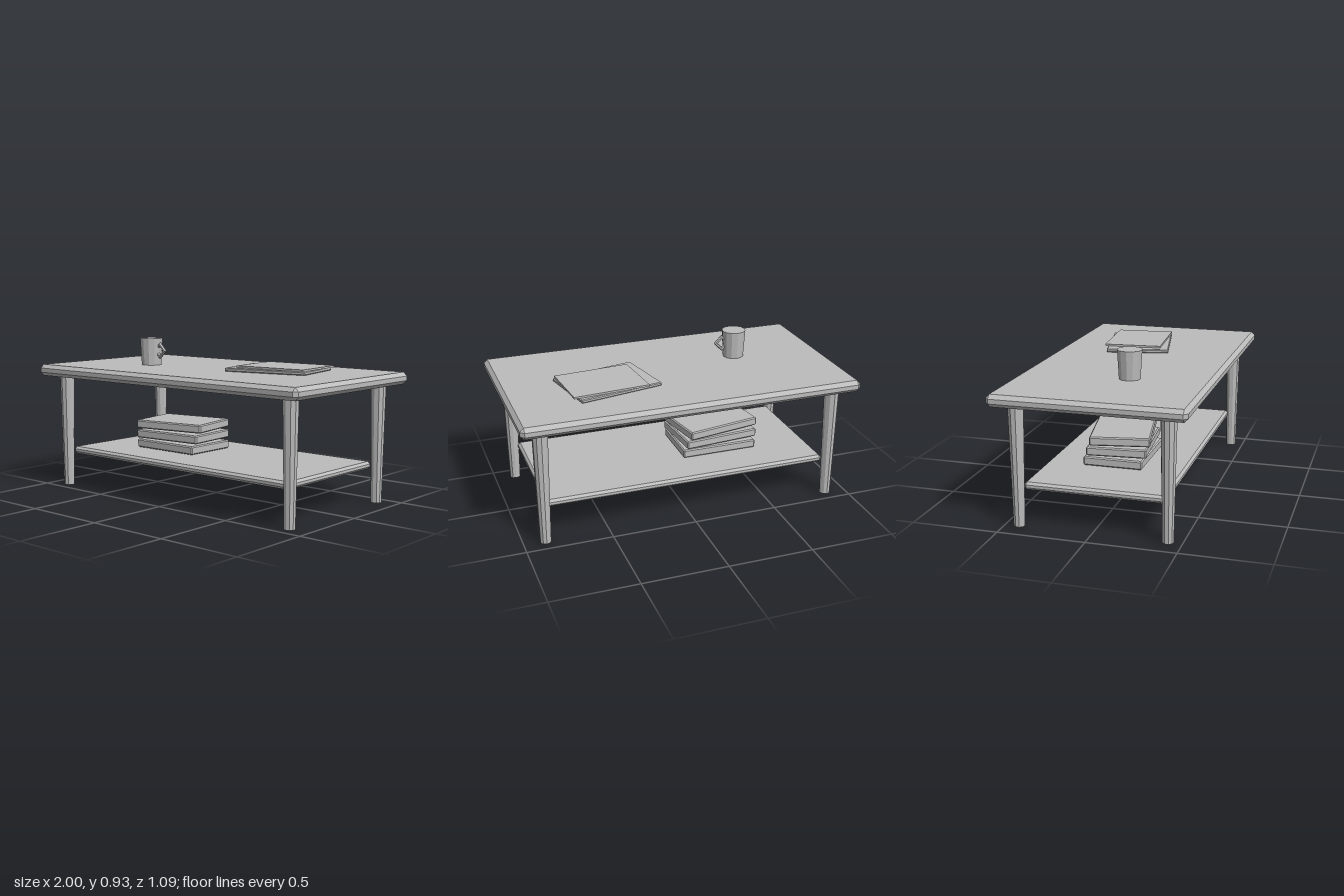
import * as THREE from 'three';
import { ConvexGeometry } from 'three/addons/geometries/ConvexGeometry.js';

// Box with every edge chamfered by b
function chamferBox(w, h, d, b) {
  const points = [];
  for (const sx of [-1, 1]) for (const sy of [-1, 1]) for (const sz of [-1, 1]) {
    const [x, y, z] = [w / 2, h / 2, d / 2];
    points.push(
      new THREE.Vector3(sx * x, sy * (y - b), sz * (z - b)),
      new THREE.Vector3(sx * (x - b), sy * y, sz * (z - b)),
      new THREE.Vector3(sx * (x - b), sy * (y - b), sz * z)
    );
  }
  return new ConvexGeometry(points);
}

export function createModel() {
  const model = new THREE.Group();
  model.name = 'coffeeTable';
  const grey = new THREE.MeshStandardMaterial({ color: 0xbcbcbc, flatShading: true });
  grey.name = 'plain grey';

  function add(name, geometry, x, y, z, turn = 0, parent = model) {
    const mesh = new THREE.Mesh(geometry, grey);
    mesh.name = name;
    mesh.position.set(x, y, z);
    mesh.rotation.y = turn;
    parent.add(mesh);
    return mesh;
  }

  // Table top and lower shelf
  add('tableTop', chamferBox(2, 0.07, 1.09, 0.022), 0, 0.73, 0);
  add('shelf', chamferBox(1.7, 0.044, 0.8, 0.014), 0, 0.221, 0);

  // Tapered legs
  const legShape = new THREE.CylinderGeometry(0.045, 0.032, 0.7, 10);
  for (const sx of [-1, 1]) for (const sz of [-1, 1]) {
    add(`${sz > 0 ? 'front' : 'back'}${sx > 0 ? 'Left' : 'Right'}Leg`, legShape, sx * 0.875, 0.35, sz * 0.42);
  }

  // Stack of books, each turned a little further
  const books = new THREE.Group();
  books.name = 'bookStack';
  model.add(books);
  const bookShape = chamferBox(0.463, 0.051, 0.345, 0.007);
  [0, 0.09, 0.18].forEach((turn, i) => {
    add(`book${i + 1}`, bookShape, -0.276, 0.275 + i * 0.0635, 0, turn, books);
  });

  // Two magazines lying on the top
  add('lowerMagazine', chamferBox(0.508, 0.021, 0.377, 0.005), 0.399, 0.777, -0.091, 0.2);
  add('upperMagazine', new THREE.BoxGeometry(0.45, 0.011, 0.346), 0.437, 0.793, -0.108, 0.083);

  // Mug with an angular ring handle
  const mug = new THREE.Group();
  mug.name = 'mug';
  mug.position.set(-0.458, 0, 0.09);
  model.add(mug);
  add('mugBody', new THREE.CylinderGeometry(0.072, 0.062, 0.165, 12), 0, 0.8475, 0, 0, mug);
  add('mugHandle', new THREE.TorusGeometry(0.038, 0.013, 6, 4), 0.077, 0.855, 0, 0, mug);

  return model;
}
